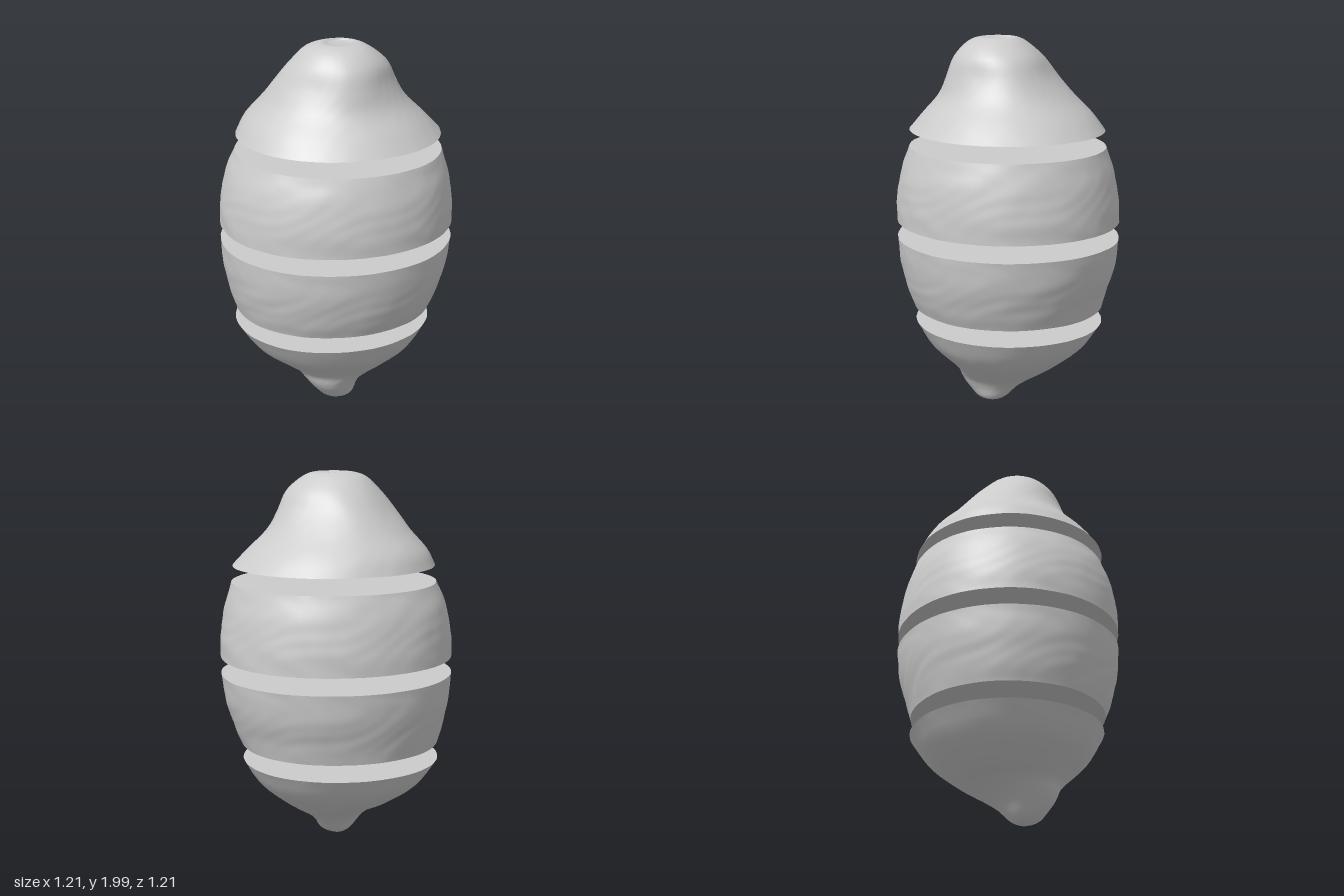
import * as THREE from 'three';

const SEG = 96, STEPS = 32;

// Cross-sections of each slice, bottom to top: [y, xMin, xMax, zMin, zMax]
const SLICES = {
  bottomTip: [
    [0.005, 0.03, 0.03, 0.07, 0.07], [0.012, -0.005, 0.065, 0.04, 0.105], [0.04, -0.045, 0.125, -0.01, 0.16],
    [0.1, -0.09, 0.147, -0.07, 0.215], [0.15, -0.14, 0.175, -0.14, 0.245], [0.2, -0.21, 0.24, -0.22, 0.268],
    [0.25, -0.31, 0.31, -0.295, 0.32], [0.35, -0.45, 0.42, -0.42, 0.435], [0.475, -0.54, 0.493, -0.51, 0.52],
  ],
  lowerSlice: [
    [0.565, -0.537, 0.503, -0.512, 0.528], [0.65, -0.56, 0.54, -0.537, 0.557],
    [0.8, -0.592, 0.583, -0.585, 0.59], [0.945, -0.605, 0.602, -0.605, 0.603],
  ],
  upperSlice: [
    [1.035, -0.605, 0.605, -0.605, 0.603], [1.15, -0.6, 0.603, -0.599, 0.6],
    [1.3, -0.573, 0.582, -0.572, 0.572], [1.43, -0.522, 0.543, -0.532, 0.522],
  ],
  stemEnd: [
    [1.515, -0.51, 0.537, -0.525, 0.52], [1.6, -0.47, 0.46, -0.45, 0.455], [1.7, -0.375, 0.36, -0.34, 0.365],
    [1.8, -0.285, 0.305, -0.25, 0.305], [1.9, -0.205, 0.272, -0.19, 0.262], [1.97, -0.135, 0.2, -0.11, 0.2],
    [1.995, -0.06, 0.13, -0.06, 0.13], [1.985, -0.03, 0.075, -0.045, 0.06], [1.982, 0.02, 0.02, 0.005, 0.005],
  ],
};

// Slightly oval fruit with shallow dimples, as a fraction of the radius
function peel(a, y) {
  const oval = -0.026 * Math.sin(2 * a) - 0.0035 * (1 - Math.cos(4 * a));
  const dimples = 0.003 * Math.sin(7 * a + 3 * Math.sin(9 * y)) * Math.sin(17 * y + 2 * Math.cos(3 * a))
    + 0.002 * Math.sin(16 * a - 4 * Math.sin(13 * y)) * Math.sin(37 * y + 3 * Math.sin(5 * a));
  // Squarish knob around the stem, and the nub leaning to one side of the tip
  const knob = Math.exp(-(((y - 1.82) / 0.11) ** 2)) * 0.035 * (1 - Math.cos(4 * a));
  const nub = Math.exp(-(((y - 0.13) / 0.07) ** 2)) * 0.12 * Math.max(0, Math.cos(a - Math.PI / 4)) ** 4;
  return 1 + oval + dimples + knob + nub;
}

function ringPoint(row, a) {
  const [y, x0, x1, z0, z1] = row, k = peel(a, y);
  return [
    (x0 + x1) / 2 + Math.cos(a) * k * (x1 - x0) / 2,
    y,
    (z0 + z1) / 2 + Math.sin(a) * k * (z1 - z0) / 2,
  ];
}

// Smooth rows between the given cross-sections
function smoothRows(keys) {
  const curve = (i, j) => new THREE.CatmullRomCurve3(keys.map(k => new THREE.Vector3(k[i], k[0], k[j])), false, 'catmullrom', 0.5);
  const cx = curve(1, 2), cz = curve(3, 4), rows = [];
  for (let i = 0; i <= STEPS; i++) {
    const p = cx.getPoint(i / STEPS), q = cz.getPoint(i / STEPS);
    rows.push([p.y, p.x, p.z, q.x, q.z]);
  }
  return rows;
}

function buildGeometry(pos, index) {
  const g = new THREE.BufferGeometry();
  g.setAttribute('position', new THREE.Float32BufferAttribute(pos, 3));
  g.setIndex(index);
  g.computeVertexNormals();
  return g;
}

function skinGeometry(rows) {
  const pos = [], index = [];
  for (const row of rows) {
    for (let j = 0; j < SEG; j++) pos.push(...ringPoint(row, j / SEG * Math.PI * 2));
  }
  for (let i = 0; i < rows.length - 1; i++) {
    for (let j = 0; j < SEG; j++) {
      const a = i * SEG + j, b = i * SEG + (j + 1) % SEG;
      index.push(a, a + SEG, b, b, a + SEG, b + SEG);
    }
  }
  return buildGeometry(pos, index);
}

// Flat cut face closing a slice
function cutGeometry(row, up) {
  const pos = [(row[1] + row[2]) / 2, row[0], (row[3] + row[4]) / 2], index = [];
  for (let j = 0; j < SEG; j++) {
    pos.push(...ringPoint(row, j / SEG * Math.PI * 2));
    const a = 1 + j, b = 1 + (j + 1) % SEG;
    index.push(0, up ? b : a, up ? a : b);
  }
  return buildGeometry(pos, index);
}

export function createModel() {
  const model = new THREE.Group();
  model.name = 'slicedLemon';
  const material = new THREE.MeshStandardMaterial({ color: 0xcccccc });
  const add = (group, name, geometry) => {
    const mesh = new THREE.Mesh(geometry, material);
    mesh.name = name;
    group.add(mesh);
  };

  for (const [name, keys] of Object.entries(SLICES)) {
    const slice = new THREE.Group();
    slice.name = name;
    const rows = smoothRows(keys);
    add(slice, 'peel', skinGeometry(rows));
    // The two end pieces are cut on one side only
    if (name !== 'bottomTip') add(slice, 'lowerCutFace', cutGeometry(rows[0], false));
    if (name !== 'stemEnd') add(slice, 'upperCutFace', cutGeometry(rows[STEPS], true));
    model.add(slice);
  }
  return model;
}
